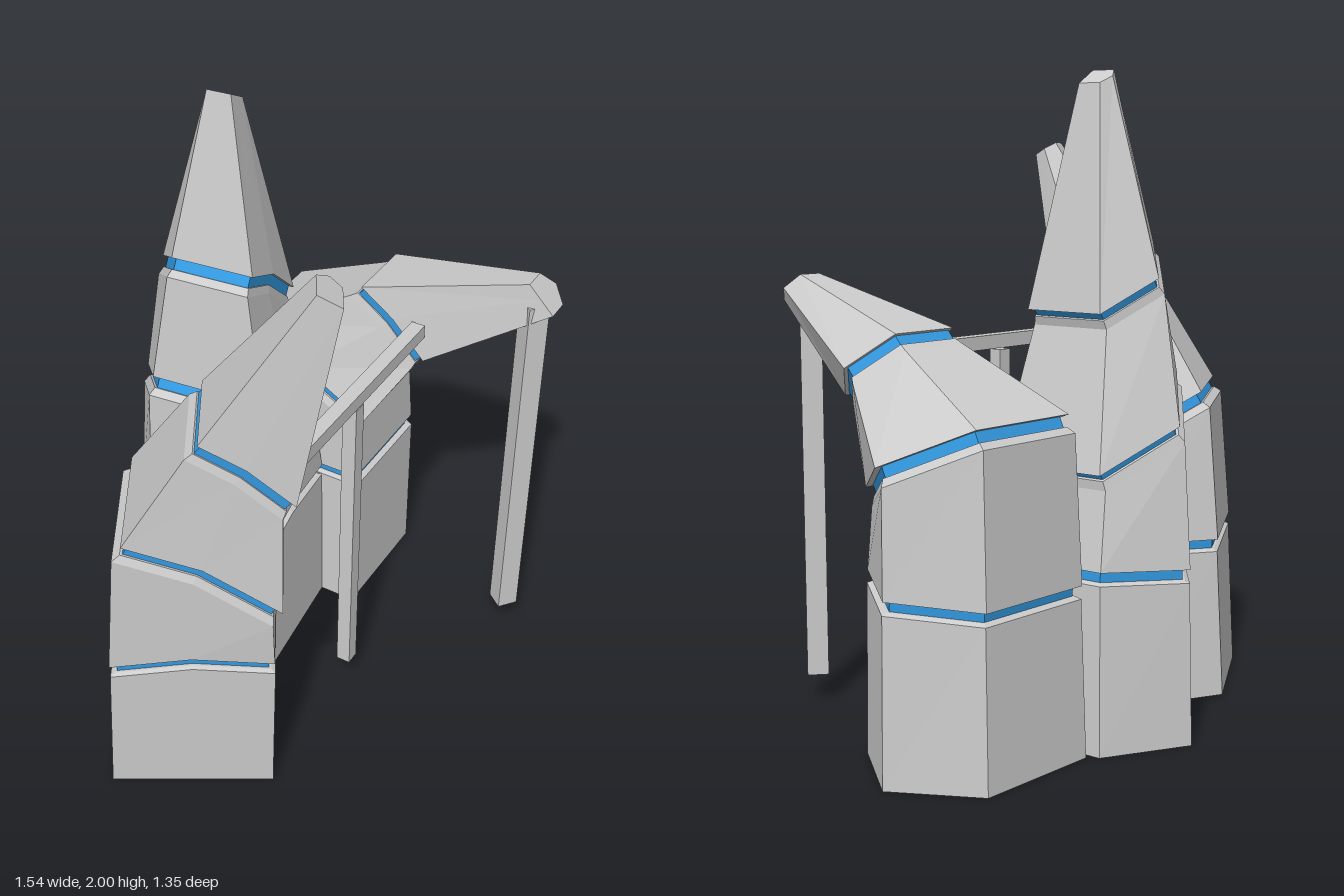
import * as THREE from 'three';

const grey = new THREE.MeshStandardMaterial({ color: 0xcccccc, flatShading: true });
const blue = new THREE.MeshStandardMaterial({ color: 0x3399e0, flatShading: true });

// Each spire stands on a house-shaped footprint: u runs from the flat face to the ridge, v across it.
// Ring: [u of face, u of sides, u of ridge, v low, v high, y at v low, y at v high, lift of face middle]
const BASE = [0, 0.41, 0.575, -0.25, 0.25, 0, 0, 0];
const SPIRES = [
  {
    name: 'frontRightSpire', origin: [-0.53, 0.54], axis: [0.35, -0.937],
    rings: [
      BASE,
      [-0.02, 0.4, 0.555, -0.225, 0.26, 0.5, 0.515, 0.025],
      [-0.03, 0.365, 0.52, -0.17, 0.275, 0.98, 0.73, 0.04],
      [-0.02, 0.27, 0.36, 0.05, 0.31, 1.33, 1.12, 0.02],
      [0.01, 0.105, 0.13, 0.37, 0.438, 1.795, 1.755, 0],
    ],
  },
  {
    name: 'middleSpire', origin: [0, 0.04], axis: [-0.707, -0.707],
    rings: [
      BASE,
      [0.01, 0.4, 0.56, -0.24, 0.235, 0.505, 0.535, 0.03],
      [0.02, 0.385, 0.525, -0.21, 0.21, 1.08, 0.82, 0.03],
      [0.075, 0.335, 0.445, -0.147, 0.137, 1.48, 1.28, 0.03],
      [0.18, 0.255, 0.275, -0.036, 0.036, 2.0, 1.96, 0],
    ],
  },
  {
    name: 'backLeftSpire', origin: [0.08, -0.22], axis: [0.782, -0.623],
    rings: [
      BASE,
      [0.005, 0.4, 0.56, -0.235, 0.25, 0.5, 0.54, 0.02],
      [0.01, 0.385, 0.55, -0.195, 0.26, 1.0, 0.78, 0.02],
      [0.09, 0.32, 0.42, 0.19, 0.415, 1.23, 1.03, 0.02],
      [0.165, 0.24, 0.275, 0.725, 0.808, 1.385, 1.3, 0],
    ],
  },
];

// Six corners of a ring, shifted along the ring's normal and shrunk toward its middle
function ringPoints({ origin, axis }, ring, shift = 0, shrink = 0) {
  const [uf, us, ur, v0, v1, y0, y1, lift] = ring;
  const len = Math.hypot(v1 - v0, y1 - y0);
  const dv = shift * (y0 - y1) / len, dy = shift * (v1 - v0) / len;
  const vm = (v0 + v1) / 2, ym = (y0 + y1) / 2;
  const pts = [
    [uf, vm, ym + lift], [uf, v1, y1], [us, v1, y1],
    [ur, vm, ym], [us, v0, y0], [uf, v0, y0],
  ].map(([u, v, y]) => new THREE.Vector3(
    origin[0] + axis[0] * u - axis[1] * (v + dv),
    y + dy,
    origin[1] + axis[1] * u + axis[0] * (v + dv),
  ));
  const mid = pts.reduce((s, p) => s.add(p), new THREE.Vector3()).divideScalar(pts.length);
  return pts.map((p) => p.lerp(mid, shrink));
}

// Closed, faceted solid through a stack of rings
function loft(name, rings, material) {
  const pos = [];
  const tri = (...corners) => corners.forEach((p) => pos.push(p.x, p.y, p.z));
  const n = rings[0].length;
  for (let k = 0; k < rings.length - 1; k++) {
    const a = rings[k], b = rings[k + 1];
    for (let i = 0; i < n; i++) {
      const j = (i + 1) % n;
      tri(a[i], a[j], b[j]);
      tri(a[i], b[j], b[i]);
    }
  }
  const bottom = rings[0], top = rings[rings.length - 1];
  for (let i = 1; i < n - 1; i++) {
    tri(bottom[0], bottom[i + 1], bottom[i]);
    tri(top[0], top[i], top[i + 1]);
  }
  const geo = new THREE.BufferGeometry();
  geo.setAttribute('position', new THREE.Float32BufferAttribute(pos, 3));
  geo.computeVertexNormals();
  const mesh = new THREE.Mesh(geo, material);
  mesh.name = name;
  return mesh;
}

// Stacked blocks with a recessed blue band in every joint
function buildSpire(spire) {
  const group = new THREE.Group();
  group.name = spire.name;
  const { rings } = spire;
  const last = rings.length - 1;
  for (let k = 0; k < last; k++) {
    const block = [ringPoints(spire, rings[k], k ? 0.018 : 0)];
    if (k + 1 === last) {
      block.push(ringPoints(spire, rings[last]));
    } else {
      // chamfered top edge, wider on the upper joints
      block.push(ringPoints(spire, rings[k + 1], k ? -0.04 : -0.022));
      block.push(ringPoints(spire, rings[k + 1], -0.015, 0.05));
      group.add(loft('glowBand', [
        ringPoints(spire, rings[k + 1], -0.02, 0.08),
        ringPoints(spire, rings[k + 1], 0.022, 0.08),
      ], blue));
    }
    group.add(loft(k + 1 === last ? 'tipBlock' : 'block', block, grey));
  }
  return group;
}

function bar(name, size, position, turn) {
  const mesh = new THREE.Mesh(new THREE.BoxGeometry(...size), grey);
  mesh.name = name;
  mesh.position.set(...position);
  mesh.rotation.y = turn;
  return mesh;
}

export function createModel() {
  const model = new THREE.Group();
  model.name = 'rockSpires';
  SPIRES.forEach((spire) => model.add(buildSpire(spire)));

  // Crossbeam between two spires, with its hanging post
  const turn = Math.atan2(0.48, 0.6);
  model.add(bar('crossbeam', [0.77, 0.045, 0.045], [0.1, 1.158, 0.285], turn));
  model.add(bar('beamPost', [0.046, 1.04, 0.046], [0.082, 0.61, 0.298], turn));

  // Post hanging from the leaning tip
  model.add(bar('tipPost', [0.068, 1.22, 0.066], [0.69, 0.7, 0.235], 0));
  return model;
}
